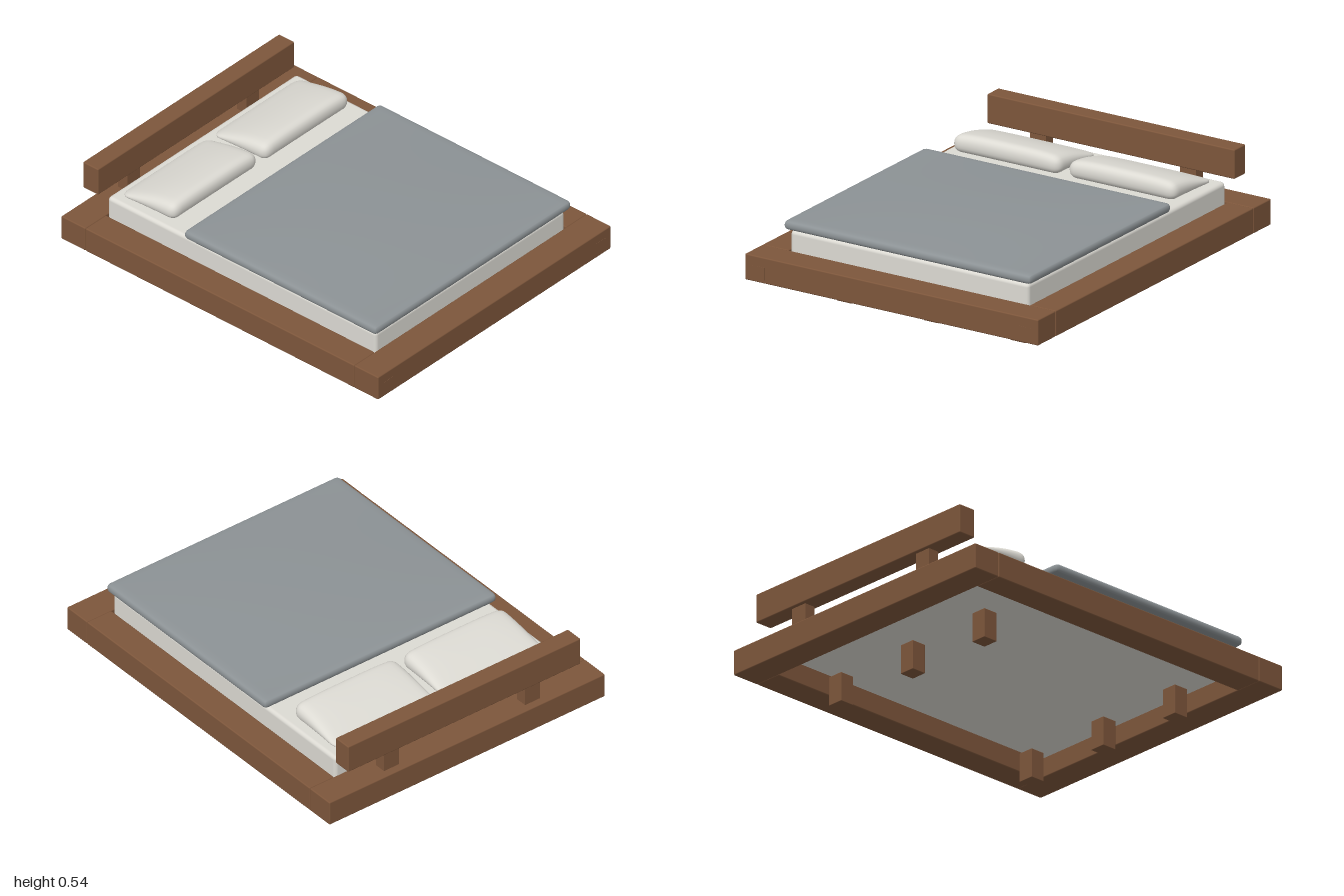
import * as THREE from 'three';
import { mergeVertices } from 'three/addons/utils/BufferGeometryUtils.js';
import { RoundedBoxGeometry } from 'three/addons/geometries/RoundedBoxGeometry.js';

const material = (name, color) => {
  const m = new THREE.MeshStandardMaterial({ color });
  m.name = name;
  return m;
};

// Rounded box with a dense grid, packed toward its edges, then bent by a rule.
function softBox(w, h, d, r, bend) {
  const geo = new THREE.BoxGeometry(w, h, d, 24, 10, 24);
  geo.deleteAttribute('uv');
  geo.deleteAttribute('normal');
  const pos = geo.attributes.position;
  const half = new THREE.Vector3(w / 2, h / 2, d / 2);
  const core = half.clone().subScalar(r);
  const low = core.clone().negate();
  const p = new THREE.Vector3(), inner = new THREE.Vector3();
  for (let i = 0; i < pos.count; i++) {
    p.fromBufferAttribute(pos, i).divide(half);
    p.set(...p.toArray().map((u) => Math.sin(u * Math.PI / 2))).multiply(half);
    inner.copy(p).clamp(low, core);
    p.sub(inner).normalize().multiplyScalar(r).add(inner);
    bend(p, p.x / half.x, p.z / half.z);
    pos.setXYZ(i, p.x, p.y, p.z);
  }
  const merged = mergeVertices(geo, 1e-5);
  merged.computeVertexNormals();
  return merged;
}

export function createModel() {
  const group = new THREE.Group();
  group.name = 'bed';
  const wood = material('brown wood', 0x7d563b);
  const linen = material('off-white linen', 0xdcdad3);
  const wool = material('grey blanket', 0x8c9295);

  const add = (name, geo, mat, x, y, z) => {
    const mesh = new THREE.Mesh(geo, mat);
    mesh.name = name;
    mesh.position.set(x, y, z);
    group.add(mesh);
    return mesh;
  };
  // Slightly eased box given by its low and high limits
  const block = (name, mat, [x0, x1], [y0, y1], [z0, z1], r = 0.006) =>
    add(name, new RoundedBoxGeometry(x1 - x0, y1 - y0, z1 - z0, 2, r), mat,
      (x0 + x1) / 2, (y0 + y1) / 2, (z0 + z1) / 2);

  // Frame rails
  block('frontRail', wood, [-0.83, 0.83], [0.15, 0.28], [0.847, 0.999]);
  block('backRail', wood, [-0.83, 0.83], [0.15, 0.28], [-1, -0.848]);
  for (const s of [-1, 1]) {
    const side = s < 0 ? 'right' : 'left';
    const rail = new RoundedBoxGeometry(0.147, 0.13, 1.695, 2, 0.006);
    add(side + 'Rail', rail, wood, s * 0.7565, 0.215, 0);
    // Joint end showing on the front rail
    add(side + 'JointEnd', new THREE.BoxGeometry(0.07, 0.065, 0.004), wood, s * 0.755, 0.198, 0.998);
    // Headboard post
    add(side + 'HeadboardPost', new THREE.BoxGeometry(0.09, 0.13, 0.06), wood, s * 0.425, 0.335, -0.93);
  }
  block('headboard', wood, [-0.7, 0.7], [0.387, 0.535], [-0.978, -0.882]);

  // Legs
  for (const z of [-0.62, 0.62]) {
    for (const x of [-0.492, 0, 0.492]) {
      block('leg', wood, [x - 0.042, x + 0.042], [0, 0.15], [z - 0.04, z + 0.04], 0.003);
    }
  }

  // Mattress
  block('mattress', linen, [-0.675, 0.675], [0.24, 0.382], [-0.847, 0.847], 0.02);

  // Blanket, domed toward the middle
  const blanket = softBox(1.4, 0.048, 1.215, 0.022, (p, u, v) => {
    if (p.y > 0) p.y += 0.019 * (1 - u * u) * (1 - v * v) * (p.y / 0.024);
  });
  add('blanket', blanket, wool, 0, 0.41, 0.262);

  // Pillows, thick at the front and thin toward the headboard
  const pillow = softBox(0.61, 0.1, 0.335, 0.045, (p, u, v) => {
    const swell = 0.22 + 0.78 * Math.sin((v + 1) * Math.PI / 4);
    p.y = (p.y + 0.05) * swell * (1 - 0.14 * u ** 4);
  });
  for (const s of [-1, 1]) {
    add(s < 0 ? 'rightPillow' : 'leftPillow', pillow, linen, s * 0.327, 0.381, -0.632);
  }
  return group;
}
